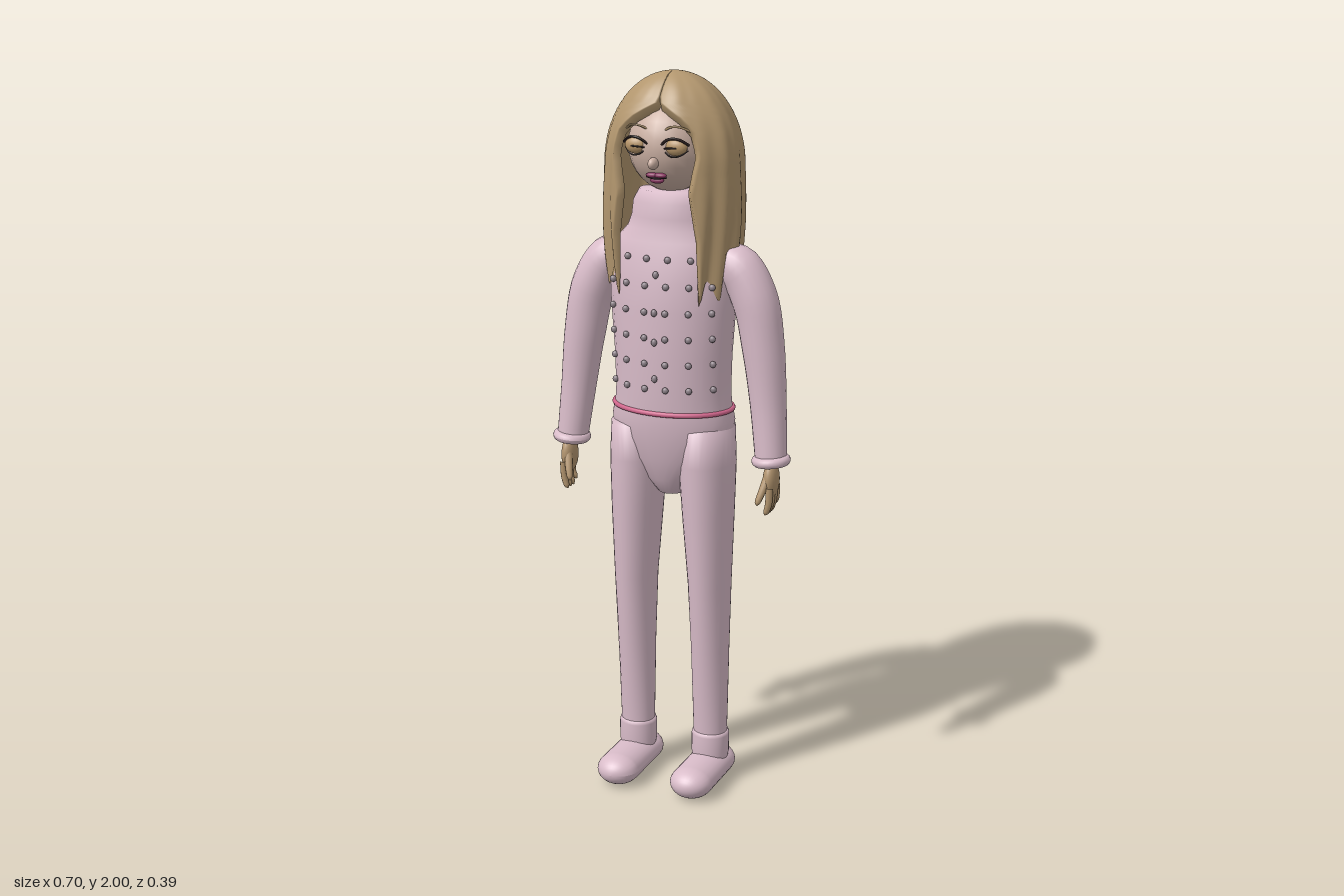
import * as THREE from 'three';

const mat = (name, color, side = THREE.FrontSide) => {
  const m = new THREE.MeshStandardMaterial({ color, side });
  m.name = name;
  return m;
};
const { lerp, clamp } = THREE.MathUtils;

// Skin closed rings (listed bottom to top) into a smooth surface
function loft(rings) {
  const n = rings[0].length, pos = [], idx = [];
  rings.forEach(r => r.forEach(p => pos.push(p.x, p.y, p.z)));
  for (let i = 0; i < rings.length - 1; i++) for (let k = 0; k < n; k++) {
    const a = i * n + k, b = i * n + (k + 1) % n;
    idx.push(a, b, b + n, a, b + n, a + n);
  }
  const g = new THREE.BufferGeometry();
  g.setAttribute('position', new THREE.Float32BufferAttribute(pos, 3));
  g.setIndex(idx);
  g.computeVertexNormals();
  return g;
}

// Body section: height, half width, front depth, back depth, centre x
function section([y, rx, zf, zb, cx = 0], n = 32) {
  return Array.from({ length: n }, (_, k) => {
    const a = k / n * Math.PI * 2, c = Math.cos(a);
    return new THREE.Vector3(cx + rx * Math.sin(a), y, c * (c > 0 ? zf : zb));
  });
}
const body = rows => loft(rows.map(r => section(r)));

// Limb swept along points of x, y, z, radius
function limb(points, steps = 24, n = 20) {
  const path = new THREE.CatmullRomCurve3(points.map(p => new THREE.Vector3(p[0], p[1], p[2])));
  const rings = [];
  for (let i = 0; i <= steps; i++) {
    const t = i / steps, f = t * (points.length - 1), j = Math.min(Math.floor(f), points.length - 2);
    const r = lerp(points[j][3], points[j + 1][3], f - j);
    const c = path.getPoint(t), d = path.getTangent(t);
    d.z = 0;
    d.normalize();
    const e1 = new THREE.Vector3(0, 0, 1), e2 = d.clone().cross(e1);
    rings.push(Array.from({ length: n }, (_, k) => {
      const a = k / n * Math.PI * 2;
      return c.clone().addScaledVector(e1, r * Math.cos(a)).addScaledVector(e2, r * Math.sin(a));
    }));
  }
  return loft(rings);
}

function mirrored(g) {
  const m = g.clone().applyMatrix4(new THREE.Matrix4().makeScale(-1, 1, 1));
  const ix = m.index.array;
  for (let i = 0; i < ix.length; i += 3) [ix[i], ix[i + 1]] = [ix[i + 1], ix[i]];
  m.computeVertexNormals();
  return m;
}

const ball = (x, y, z, rx, ry, rz) =>
  new THREE.SphereGeometry(1, 24, 16).scale(rx, ry, rz).translate(x, y, z);
const wire = (pts, r, closed = false) => new THREE.TubeGeometry(
  new THREE.CatmullRomCurve3(pts.map(p => new THREE.Vector3(...p)), closed), closed ? 64 : 12, r, 8, closed);

const TORSO = [
  [1.09, 0.168, 0.12, 0.11], [1.15, 0.163, 0.124, 0.104], [1.25, 0.166, 0.127, 0.1],
  [1.38, 0.176, 0.127, 0.1], [1.46, 0.18, 0.12, 0.1], [1.52, 0.178, 0.108, 0.098],
  [1.56, 0.155, 0.098, 0.09], [1.59, 0.128, 0.09, 0.084], [1.62, 0.117, 0.086, 0.08],
  [1.66, 0.112, 0.083, 0.08], [1.69, 0.095, 0.07, 0.07], [1.7, 0, 0, 0]];

// Depth of the sweater front at a point
function frontZ(x, y) {
  const i = TORSO.findIndex(r => r[0] > y), a = TORSO[i - 1], b = TORSO[i];
  const t = (y - a[0]) / (b[0] - a[0]), rx = lerp(a[1], b[1], t);
  return lerp(a[2], b[2], t) * Math.sqrt(Math.max(0, 1 - (x / rx) ** 2));
}

// Half angle of the face opening in the hair: height, angle
const OPENING = [[2.1, 0], [1.93, 0], [1.9, 0.38], [1.86, 0.64], [1.8, 0.7], [1.7, 0.56], [1.6, 0.68], [1.3, 0.76]];
function opening(y) {
  const i = OPENING.findIndex(o => o[0] < y), a = OPENING[i - 1], b = OPENING[i];
  return lerp(a[1], b[1], (a[0] - y) / (a[0] - b[0]));
}

// Thick long hair: domed crown, wavy sides, ragged hem
function hairGeometry() {
  const rows = 40, cols = 110, rings = [];
  const point = (t, u, inner) => {
    const dome = Math.min(t / 0.45, 1) * Math.PI / 2, fall = clamp((t - 0.45) / 0.55, 0, 1);
    const p0 = opening(fall > 0 ? lerp(1.75, 1.45, fall) : 1.75 + 0.25 * Math.cos(dome));
    const phi = lerp(p0, Math.PI * 2 - p0, u), c = Math.cos(phi);
    const side = Math.sin(phi) ** 8;
    const tooth = Math.abs(Math.sin(phi * 8.5 + 0.6 * Math.sin(phi * 3)));
    const hem = 1.4 + 0.05 * side + 0.075 * tooth * tooth + 0.015 * Math.sin(phi * 5);
    const thick = inner ? 1 - 0.12 * (1 - 0.8 * fall ** 3) : 1;
    const y = fall > 0 ? lerp(1.75, hem, fall) : 1.75 + 0.25 * thick * Math.cos(dome);
    const part = 1 - 0.07 * Math.exp(-((Math.min(phi, Math.PI * 2 - phi) / 0.2) ** 2));
    const wave = 1 + 0.028 * t * Math.sin(phi * 17 + 2 * t) + 0.015 * Math.sin(phi * 7 - 3 * t);
    const r = Math.sin(dome) * thick * part * wave * (1 + 0.03 * Math.sin(fall * Math.PI) - 0.08 * fall ** 2);
    return new THREE.Vector3(0.188 * r * Math.sin(phi), y, r * c * (c > 0 ? 0.152 : 0.19));
  };
  for (let i = rows; i >= 0; i--) {
    const ring = [];
    for (let k = 0; k <= cols; k++) ring.push(point(i / rows, k / cols, false));
    for (let k = cols; k >= 0; k--) ring.push(point(i / rows, k / cols, true));
    rings.push(ring);
  }
  return loft(rings);
}

export function createModel() {
  const model = new THREE.Group();
  const pink = mat('pale pink cloth', 0xd9bcc9), rose = mat('rose trim', 0xd0668c);
  const hairTan = mat('hair tan', 0xb3976f, THREE.DoubleSide), hand = mat('hand skin', 0xb3956f);
  const skin = mat('face skin', 0xcbb0a3), dark = mat('lash black', 0x2a1e1e);
  const gold = mat('eyelid gold', 0xb8966a), lip = mat('lip plum', 0x8c3a64);
  const metal = mat('stud grey', 0x8d8289);

  const add = (name, g, m) => {
    const mesh = new THREE.Mesh(g, m);
    mesh.name = name;
    model.add(mesh);
  };
  const pair = (name, g, m) => {
    add('left ' + name, g, m);
    add('right ' + name, mirrored(g), m);
  };

  // Clothes
  add('sweater', body(TORSO), pink);
  add('hips', body([
    [0.845, 0, 0, 0], [0.855, 0.04, 0.05, 0.05], [0.9, 0.085, 0.078, 0.085], [0.96, 0.14, 0.1, 0.1],
    [1.02, 0.172, 0.113, 0.11], [1.07, 0.175, 0.12, 0.114], [1.105, 0.168, 0.12, 0.112]]), pink);
  add('waistband', wire(section([1.1, 0.168, 0.121, 0.112]).map(p => p.toArray()), 0.007, true), rose);
  pair('leg', body([
    [0.1, 0.046, 0.04, 0.05, 0.112], [0.2, 0.049, 0.045, 0.05, 0.112], [0.4, 0.053, 0.064, 0.05, 0.112],
    [0.6, 0.059, 0.084, 0.054, 0.111], [0.8, 0.07, 0.098, 0.068, 0.106], [0.95, 0.077, 0.104, 0.084, 0.102],
    [1.05, 0.074, 0.104, 0.09, 0.1], [1.08, 0, 0, 0, 0.1]]), pink);
  pair('ankle cuff', body([
    [0.07, 0.05, 0.046, 0.056, 0.112], [0.085, 0.053, 0.049, 0.06, 0.112], [0.14, 0.053, 0.049, 0.06, 0.112],
    [0.15, 0.05, 0.046, 0.056, 0.112], [0.15, 0.04, 0.036, 0.046, 0.112]]), pink);
  pair('shoe', new THREE.CapsuleGeometry(0.061, 0.163, 10, 24).rotateX(Math.PI / 2)
    .scale(1, 0.72, 1).translate(0.112, 0.046, 0.052), pink);
  pair('sleeve', limb([
    [0.12, 1.515, 0, 0.045], [0.185, 1.492, 0, 0.061], [0.235, 1.41, 0.004, 0.062],
    [0.262, 1.28, 0.008, 0.057], [0.28, 1.13, 0.014, 0.049], [0.295, 0.98, 0.027, 0.043]]), pink);
  pair('wrist cuff', new THREE.TorusGeometry(0.039, 0.014, 12, 32).rotateX(Math.PI / 2)
    .rotateZ(0.08).translate(0.296, 0.982, 0.03), pink);

  // Sweater studs
  [1.52, 1.45, 1.38, 1.31, 1.24, 1.17].forEach((y, row) => {
    for (const x of row ? [0.03, 0.09, 0.143] : [0.03, 0.09])
      pair('stud', ball(x, y, frontZ(x, y) + 0.006, 0.009, 0.009, 0.007), metal);
  });
  for (const y of [1.2, 1.3, 1.38, 1.48])
    add('centre stud', ball(0, y, frontZ(0, y) + 0.006, 0.008, 0.01, 0.007), metal);

  // Hands
  pair('palm', ball(0.3, 0.93, 0.037, 0.021, 0.052, 0.034), hand);
  for (let i = 0; i < 4; i++) {
    const z = 0.012 + i * 0.018, drop = i === 0 ? 0.012 : 0;
    pair('finger', limb([
      [0.293, 0.838 + drop, z, 0.002], [0.297, 0.845 + drop, z, 0.008], [0.304, 0.87, z, 0.0095],
      [0.306, 0.915, z, 0.01]], 10, 10), hand);
  }
  pair('thumb', limb([
    [0.277, 0.868, 0.084, 0.002], [0.279, 0.876, 0.083, 0.008], [0.286, 0.9, 0.074, 0.01],
    [0.296, 0.94, 0.055, 0.012]], 10, 10), hand);

  // Head and face
  add('head', ball(0, 1.81, 0.01, 0.115, 0.125, 0.123), skin);
  add('nose', ball(0, 1.775, 0.135, 0.013, 0.016, 0.02), skin);
  pair('eye', ball(0.056, 1.818, 0.116, 0.031, 0.023, 0.018), gold);
  const arc = (y, h, w, z) => [-1, -0.5, 0, 0.5, 1].map(s =>
    [0.056 + s * w, y + h * (1 - s * s), z - 0.014 * s * s - 0.006 * s]);
  pair('upper lash', wire(arc(1.824, 0.018, 0.036, 0.134), 0.0035), dark);
  pair('eye line', wire(arc(1.814, 0.003, 0.03, 0.134), 0.0022), dark);
  pair('lower lash', wire(arc(1.81, -0.016, 0.032, 0.131), 0.002), dark);
  pair('eyebrow', wire(arc(1.857, 0.014, 0.035, 0.121), 0.003), hairTan);
  pair('upper lip', ball(0.011, 1.742, 0.116, 0.018, 0.007, 0.01), lip);
  add('lower lip', ball(0, 1.728, 0.111, 0.02, 0.008, 0.01), lip);
  add('mouth line', wire([[-0.028, 1.737, 0.114], [0, 1.735, 0.124], [0.028, 1.737, 0.114]], 0.0025), dark);

  // Hair
  add('hair', hairGeometry(), hairTan);
  return model;
}
